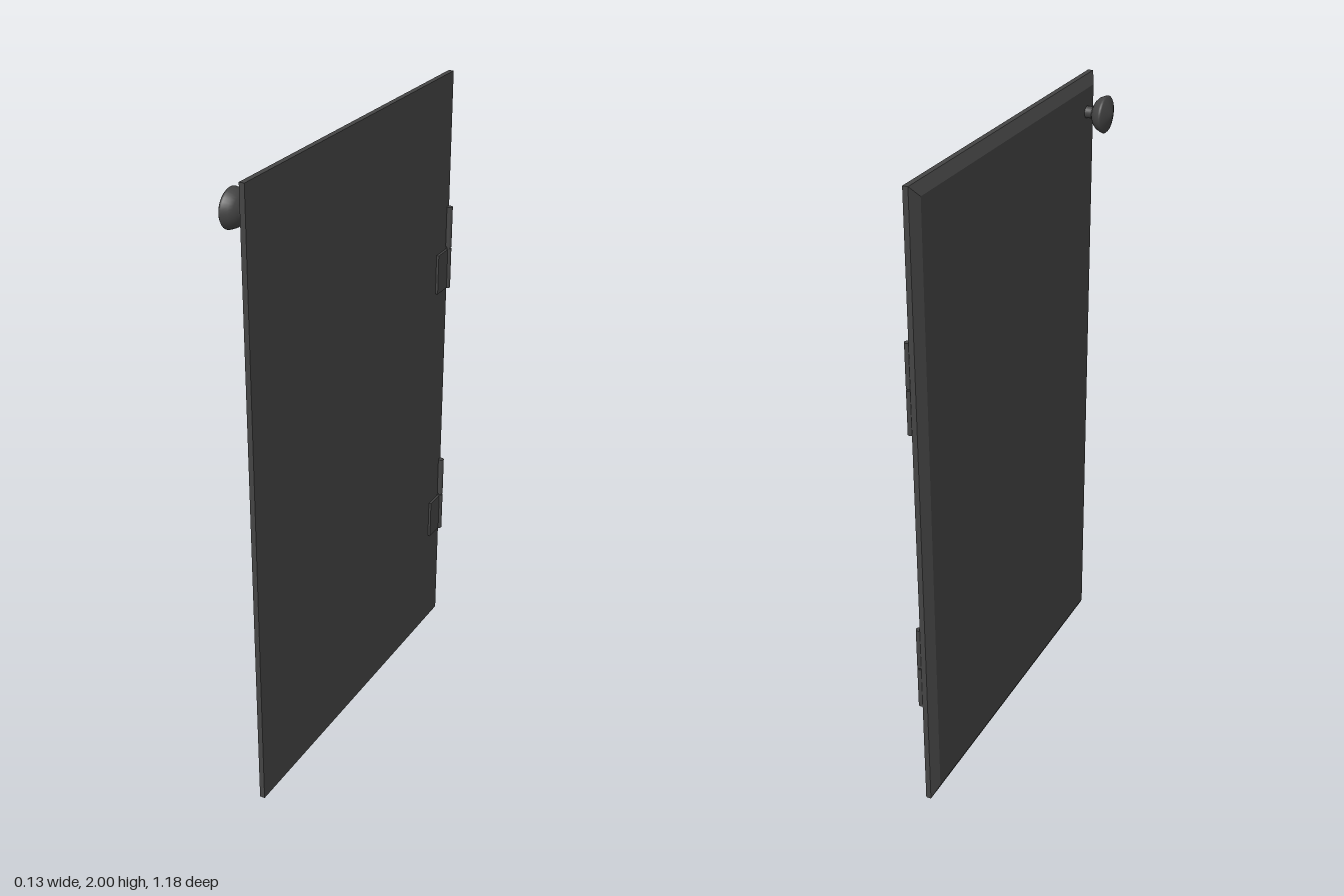
import * as THREE from 'three';

const material = new THREE.MeshStandardMaterial({ color: 0x444444 });

function addMesh(parent, name, geometry, x, y, z) {
  const mesh = new THREE.Mesh(geometry, material);
  mesh.name = name;
  mesh.position.set(x, y, z);
  parent.add(mesh);
  return mesh;
}

// Panel with a chamfer around its -x face
function panelGeometry(thickness, height, width, inset) {
  const box = new THREE.BoxGeometry(thickness, height, width, 2, 1, 1);
  const p = box.attributes.position;
  for (let i = 0; i < p.count; i++) {
    if (p.getX(i) < -thickness / 4) {
      p.setY(i, Math.sign(p.getY(i)) * (height / 2 - inset));
      p.setZ(i, Math.sign(p.getZ(i)) * (width / 2 - inset));
    }
  }
  const flat = box.toNonIndexed();
  flat.computeVertexNormals();
  return flat;
}

// Knob turned around its axis, from the pointed face to the stem
function knobGeometry() {
  const profile = [
    [0, -0.067], [0.012, -0.066], [0.035, -0.058], [0.054, -0.051], [0.058, -0.047],
    [0.057, -0.042], [0.05, -0.026], [0.04, -0.016], [0.028, -0.009],
    [0.02, -0.007], [0.018, 0], [0.019, 0.022],
  ].map(([r, x]) => new THREE.Vector2(r, x));
  return new THREE.LatheGeometry(profile, 32);
}

// Two stacked knuckles, the lower one carrying the leaf
function createHinge(y) {
  const hinge = new THREE.Group();
  hinge.name = 'hinge';
  hinge.position.set(0.058, y, -0.582);
  const knuckle = new THREE.CylinderGeometry(0.0095, 0.0095, 0.136, 20);
  addMesh(hinge, 'lowerKnuckle', knuckle, 0, -0.071, 0);
  addMesh(hinge, 'upperKnuckle', knuckle, 0, 0.071, 0);
  addMesh(hinge, 'pin', new THREE.CylinderGeometry(0.006, 0.006, 0.27, 12), 0, 0, 0);
  addMesh(hinge, 'leaf', new THREE.BoxGeometry(0.008, 0.134, 0.074), -0.002, -0.071, 0.037);
  return hinge;
}

export function createModel() {
  const door = new THREE.Group();
  door.name = 'cabinetDoor';
  addMesh(door, 'panel', panelGeometry(0.033, 2, 1.184, 0.034), 0.0335, 1, 0);
  addMesh(door, 'knob', knobGeometry(), 0, 1.892, 0.51).rotation.z = -Math.PI / 2;
  for (const y of [0.495, 1.425]) door.add(createHinge(y));
  return door;
}
